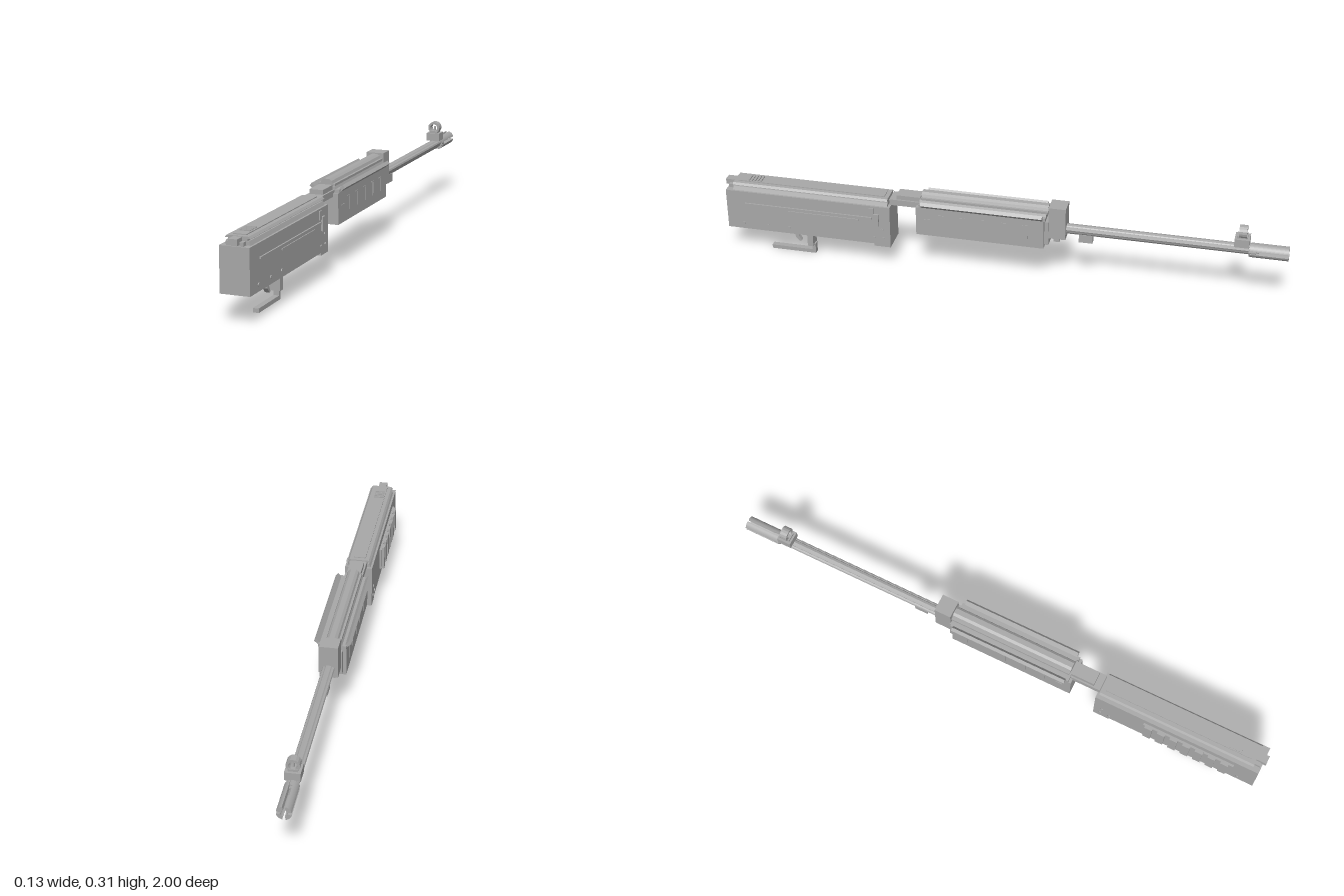
import * as THREE from 'three';

const steel = new THREE.MeshStandardMaterial({ color: 0xa8a8a8, flatShading: true });
steel.name = 'grey steel';

export function createModel() {
  const model = new THREE.Group();
  const body = new THREE.Group();
  body.name = 'assembly';
  body.position.x = 0.002;
  model.add(body);

  const add = (name, geo) => {
    const m = new THREE.Mesh(geo, steel);
    m.name = name;
    body.add(m);
    return m;
  };
  // Box given by its limits on each axis
  const box = (name, x0, x1, y0, y1, z0, z1) => {
    const m = add(name, new THREE.BoxGeometry(x1 - x0, y1 - y0, z1 - z0));
    m.position.set((x0 + x1) / 2, (y0 + y1) / 2, (z0 + z1) / 2);
    return m;
  };
  // Cross-section in x,y run along z
  const run = (name, shape, z0, z1, curveSegments = 6) => {
    const m = add(name, new THREE.ExtrudeGeometry(shape, { depth: z1 - z0, bevelEnabled: false, curveSegments }));
    m.position.z = z0;
    return m;
  };
  const poly = (pts) => new THREE.Shape(pts.map(([x, y]) => new THREE.Vector2(x, y)));
  // Symmetric section from its right half, listed bottom to top
  const mirrored = (half) => poly([...half, ...half.slice().reverse().map(([x, y]) => [-x, y])]);
  const rod = (name, r, x, y, z0, z1, sides) => {
    const m = add(name, new THREE.CylinderGeometry(r, r, z1 - z0, sides).rotateX(Math.PI / 2));
    m.position.set(x, y, (z0 + z1) / 2);
    return m;
  };

  // Rear housing
  box('rearHousing', -0.05, 0.05, 0.097, 0.247, 0.385, 0.99);
  box('housingLip', -0.05, 0.05, 0.088, 0.097, 0.385, 0.445);
  run('housingCover', mirrored([[0.043, 0.247], [0.037, 0.26], [0.032, 0.26], [0.032, 0.267],
    [0.042, 0.267], [0.036, 0.274]]), 0.395, 0.965);
  box('coverPlate', -0.022, 0.022, 0.274, 0.277, 0.41, 0.95);
  for (let i = 0; i < 5; i++) {
    const z = 0.865 + i * 0.011;
    box('coverGrip', -0.018, 0.018, 0.277, 0.281, z, z + 0.005);
  }
  box('rearLatch', -0.015, 0.015, 0.252, 0.272, 0.96, 1.0);
  box('rearLatchBase', -0.028, 0.028, 0.247, 0.26, 0.96, 0.985);

  // Left-hand details: long guide strip, catch and pins
  box('guideStrip', 0.05, 0.055, 0.196, 0.203, 0.45, 0.92);
  box('lowerGuideStrip', 0.05, 0.053, 0.184, 0.189, 0.5, 0.76);
  box('sideCatch', 0.05, 0.057, 0.17, 0.218, 0.425, 0.443);
  box('sideCatchTop', 0.05, 0.054, 0.21, 0.24, 0.443, 0.46);
  for (const s of [-1, 1]) {
    for (const [y, z] of [[0.155, 0.415], [0.12, 0.41], [0.12, 0.445], [0.12, 0.76], [0.12, 0.84], [0.12, 0.93]]) {
      const pin = add('sidePin', new THREE.CylinderGeometry(0.006, 0.006, 0.004, 8).rotateZ(Math.PI / 2));
      pin.position.set(s * 0.051, y, z);
    }
  }

  // Ribbed panel on the other side
  box('sidePanel', -0.058, -0.05, 0.137, 0.22, 0.57, 0.905);
  for (let i = 0; i < 7; i++) {
    const z = 0.578 + i * 0.047;
    box('panelRib', -0.067, -0.058, 0.135, 0.224, z, z + 0.028);
  }

  // Lower lever and guard
  box('guardBlock', -0.02, 0.02, 0.035, 0.097, 0.685, 0.706);
  box('guardPost', -0.01, 0.01, 0.003, 0.04, 0.68, 0.692);
  box('guardStrap', -0.01, 0.01, 0.002, 0.016, 0.68, 0.845);
  const lever = run('lever', poly([[0.747, 0.1], [0.745, 0.06], [0.735, 0.042], [0.742, 0.038],
    [0.757, 0.055], [0.762, 0.1]]), -0.008, 0.008);
  lever.geometry.rotateY(-Math.PI / 2);
  lever.position.set(0, 0, 0);
  lever.geometry.translate(0.0, 0, 0);

  // Connecting bridge
  box('bridge', -0.03, 0.03, 0.25, 0.272, 0.28, 0.39);
  box('bridgeTop', -0.024, 0.024, 0.272, 0.288, 0.28, 0.365);

  // Forward housing with flared edge rails
  box('forwardHousing', -0.048, 0.048, 0.155, 0.262, -0.165, 0.29);
  run('forwardCover', mirrored([[0.048, 0.262], [0.048, 0.274], [0.034, 0.274], [0.03, 0.283]]), -0.17, 0.28);
  for (const s of [-1, 1]) {
    run('edgeRail', poly(s > 0
      ? [[0.035, 0.263], [0.043, 0.259], [0.064, 0.278], [0.055, 0.288]]
      : [[-0.035, 0.263], [-0.055, 0.288], [-0.064, 0.278], [-0.043, 0.259]]), -0.16, 0.27);
    // Side slots
    for (let i = 0; i < 5; i++) {
      const z = -0.11 + i * 0.075;
      const x0 = s > 0 ? 0.047 : -0.05;
      box('slotEdge', x0, x0 + 0.003, 0.188, 0.24, z, z + 0.004);
      box('slotTop', x0, x0 + 0.003, 0.237, 0.24, z, z + 0.02);
    }
    const x0 = s > 0 ? 0.047 : -0.05;
    box('slotEnd', x0, x0 + 0.003, 0.215, 0.219, 0.235, 0.26);
  }
  run('topTube', mirrored([[0.03, 0.283], [0.03, 0.291], [0.022, 0.291], [0.018, 0.3], [0.009, 0.306]]), -0.175, 0.275);
  box('forwardCap', -0.036, 0.036, 0.165, 0.255, -0.18, -0.165);

  // Barrel block
  box('barrelBlock', -0.032, 0.032, 0.19, 0.309, -0.238, -0.178);
  box('blockFoot', -0.02, 0.02, 0.172, 0.19, -0.215, -0.195);

  // Long barrel with side ribs
  rod('barrel', 0.017, 0, 0.22, -0.9, -0.17, 12);
  rod('lowerRod', 0.008, 0, 0.208, -0.87, -0.17, 8);
  for (const s of [-1, 1]) rod('barrelRib', 0.008, s * 0.013, 0.224, -0.87, -0.17, 8);
  box('barrelLug', -0.012, 0.012, 0.176, 0.206, -0.33, -0.282);

  // Slotted tip: four prongs around an open bore
  rod('tipCollar', 0.023, 0, 0.218, -0.89, -0.865, 12);
  for (let i = 0; i < 4; i++) {
    const a = i * Math.PI / 2 + 0.22, b = (i + 1) * Math.PI / 2 - 0.22;
    const prong = new THREE.Shape();
    prong.absarc(0, 0, 0.025, a, b, false);
    prong.absarc(0, 0, 0.012, b, a, true);
    run('tipProng', prong, -1.0, -0.87, 4).position.y = 0.218;
  }

  // Forward hood on its base
  box('hoodBase', -0.026, 0.026, 0.236, 0.266, -0.866, -0.815);
  box('hoodNeck', -0.016, 0.016, 0.264, 0.274, -0.858, -0.822);
  const ring = new THREE.Shape();
  ring.absarc(0, 0, 0.023, 0, Math.PI * 2, false);
  const hole = new THREE.Path();
  hole.absarc(0, 0, 0.014, 0, Math.PI * 2, true);
  ring.holes.push(hole);
  run('hood', ring, -0.855, -0.828, 8).position.y = 0.286;
  box('hoodPost', -0.003, 0.003, 0.27, 0.29, -0.844, -0.838);

  return model;
}
